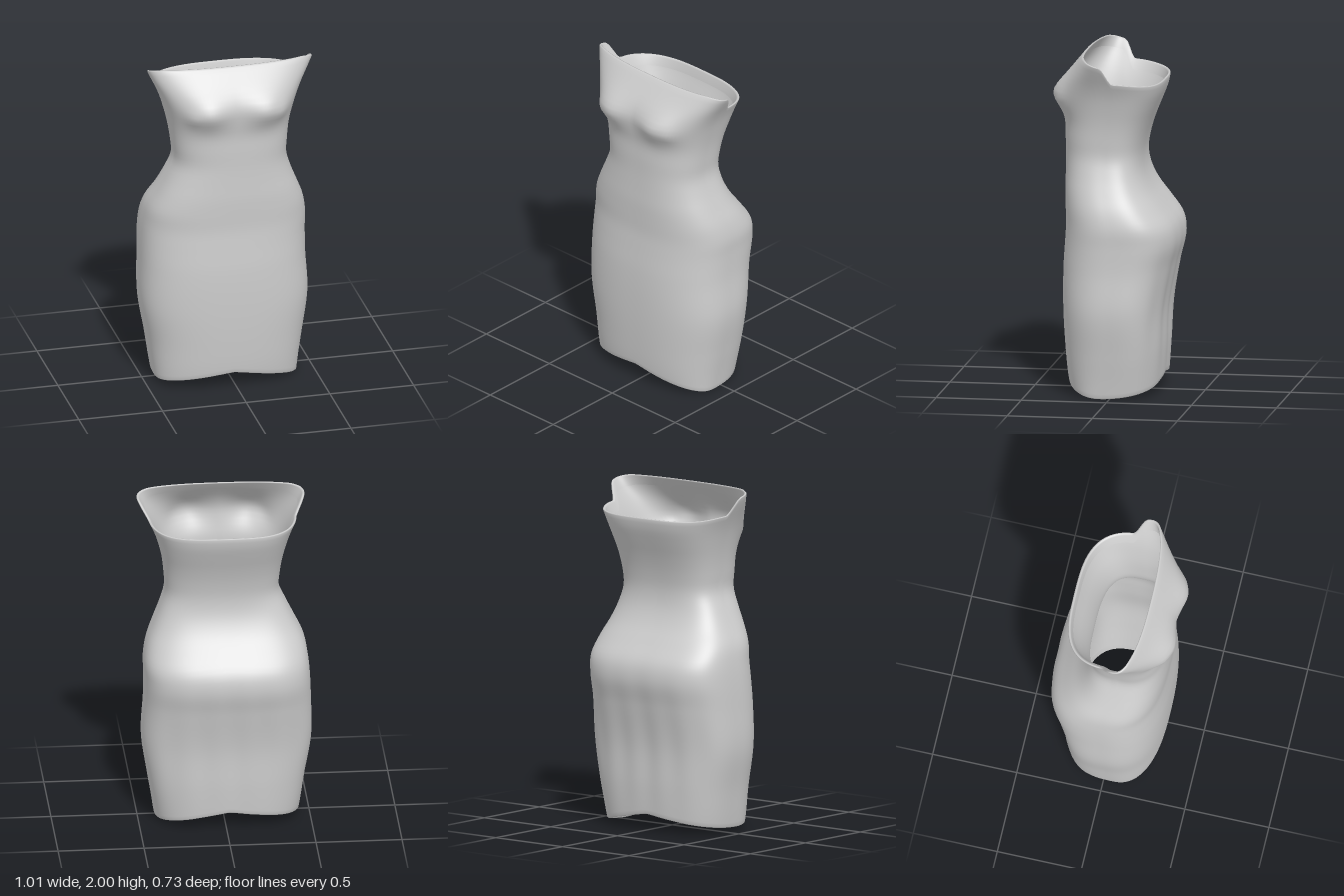
import * as THREE from 'three';

// Body profile: y, right side x, left side x, front z, back z, z of the side seam
const PROFILE = [
  [0.00, -0.435, 0.40, 0.27, -0.255, 0.06],
  [0.10, -0.45, 0.415, 0.29, -0.265, 0.04],
  [0.25, -0.47, 0.44, 0.305, -0.275, 0.02],
  [0.50, -0.51, 0.475, 0.318, -0.285, 0.01],
  [0.75, -0.507, 0.463, 0.318, -0.33, 0.00],
  [0.90, -0.50, 0.463, 0.308, -0.362, -0.01],
  [1.00, -0.49, 0.465, 0.302, -0.345, -0.01],
  [1.10, -0.47, 0.445, 0.305, -0.275, 0.02],
  [1.20, -0.42, 0.405, 0.308, -0.205, 0.05],
  [1.30, -0.37, 0.365, 0.306, -0.162, 0.06],
  [1.40, -0.328, 0.336, 0.305, -0.15, 0.07],
  [1.50, -0.333, 0.34, 0.308, -0.165, 0.07],
  [1.60, -0.347, 0.352, 0.31, -0.195, 0.06],
  [1.70, -0.37, 0.375, 0.325, -0.235, 0.05],
  [1.78, -0.395, 0.40, 0.33, -0.265, 0.05],
  [1.85, -0.425, 0.432, 0.305, -0.277, 0.05],
  [1.92, -0.46, 0.472, 0.255, -0.28, 0.05],
  [2.00, -0.495, 0.515, 0.19, -0.28, 0.05],
];
const profile = new THREE.CubicInterpolant(
  PROFILE.map((r) => r[0]), PROFILE.flatMap((r) => r.slice(1)), 5);

const gauss = (d, w) => Math.exp(-(d * d) / (2 * w * w));

// Bottom hem: lowest at the sides, lifted in the middle
const hemY = (c) => 0.1 - Math.abs(c) ** 1.2 * (c > 0 ? 0.1 : 0.07);

// Neckline: high bust panel in front, a quick step down behind the arms
function neckY(s) {
  if (s >= 0) return 1.968 + 0.03 * Math.min(1, 1.6 * s);
  return 1.968 - 0.107 * THREE.MathUtils.smoothstep(-s, 0.0, 0.22)
    - 0.025 * THREE.MathUtils.smoothstep(-s, 0.2, 0.9);
}

// Point on the cloth at an angle and height, moved inwards by inset
function clothPoint(c, s, y, inset) {
  const [xr, xl, front, back, seam] = profile.evaluate(y);
  const n = s > 0 ? 2.5 : 3.1;
  const r = (Math.abs(c) ** n + Math.abs(s) ** n) ** (-1 / n);
  const mid = (xl + xr) / 2, half = (xl - xr) / 2 - inset;
  const depth = (s > 0 ? front - seam : seam - back) - inset;
  const x = mid + half * c * r;
  let z = seam + depth * s * r;
  if (s > 0) {
    const ax = Math.abs(x);
    z += 0.05 * gauss(ax - 0.19, 0.085) * gauss(y - 1.76, 0.065) * Math.min(1, 2 * s);
    z += 0.014 * gauss(ax - 0.27, 0.03) * gauss(y - 1.735, 0.03);
  } else {
    // soft vertical folds at the back of the skirt
    z += 0.004 * Math.sin(x * 34) * gauss(y - 0.5, 0.25) * s;
  }
  return [x, y, z];
}

function dressGeometry() {
  const around = 128, rows = 64;
  // Each row: fraction of height, vertical offset, inset; both hems are turned in
  const steps = [[0, 0.06, 0.016], [0, 0.008, 0.016], [0, 0, 0.011], [0, 0, 0.005]];
  for (let j = 0; j <= rows; j++) {
    const v = j / rows;
    steps.push([v, j === 0 ? 0.006 : j === rows ? -0.006 : 0, 0]);
  }
  steps.push([1, 0, 0.005], [1, 0, 0.011], [1, -0.008, 0.016], [1, -0.06, 0.016]);

  const positions = [], index = [];
  steps.forEach(([v, dy, inset], j) => {
    for (let i = 0; i < around; i++) {
      const t = (i / around) * Math.PI * 2;
      const c = Math.cos(t), s = Math.sin(t);
      const y = THREE.MathUtils.lerp(hemY(c), neckY(s), v) + dy;
      positions.push(...clothPoint(c, s, y, inset));
      if (j === steps.length - 1) continue;
      const a = j * around + i, b = j * around + (i + 1) % around;
      index.push(a, a + around, b, b, a + around, b + around);
    }
  });
  const geometry = new THREE.BufferGeometry();
  geometry.setAttribute('position', new THREE.Float32BufferAttribute(positions, 3));
  geometry.setIndex(index);
  geometry.computeVertexNormals();
  return geometry;
}

export function createModel() {
  const group = new THREE.Group();
  group.name = 'straplessDress';
  const cloth = new THREE.MeshStandardMaterial({ color: 0xcccccc, side: THREE.DoubleSide });
  cloth.name = 'lightGreyCloth';
  const dress = new THREE.Mesh(dressGeometry(), cloth);
  dress.name = 'dressBody';
  group.add(dress);
  return group;
}
